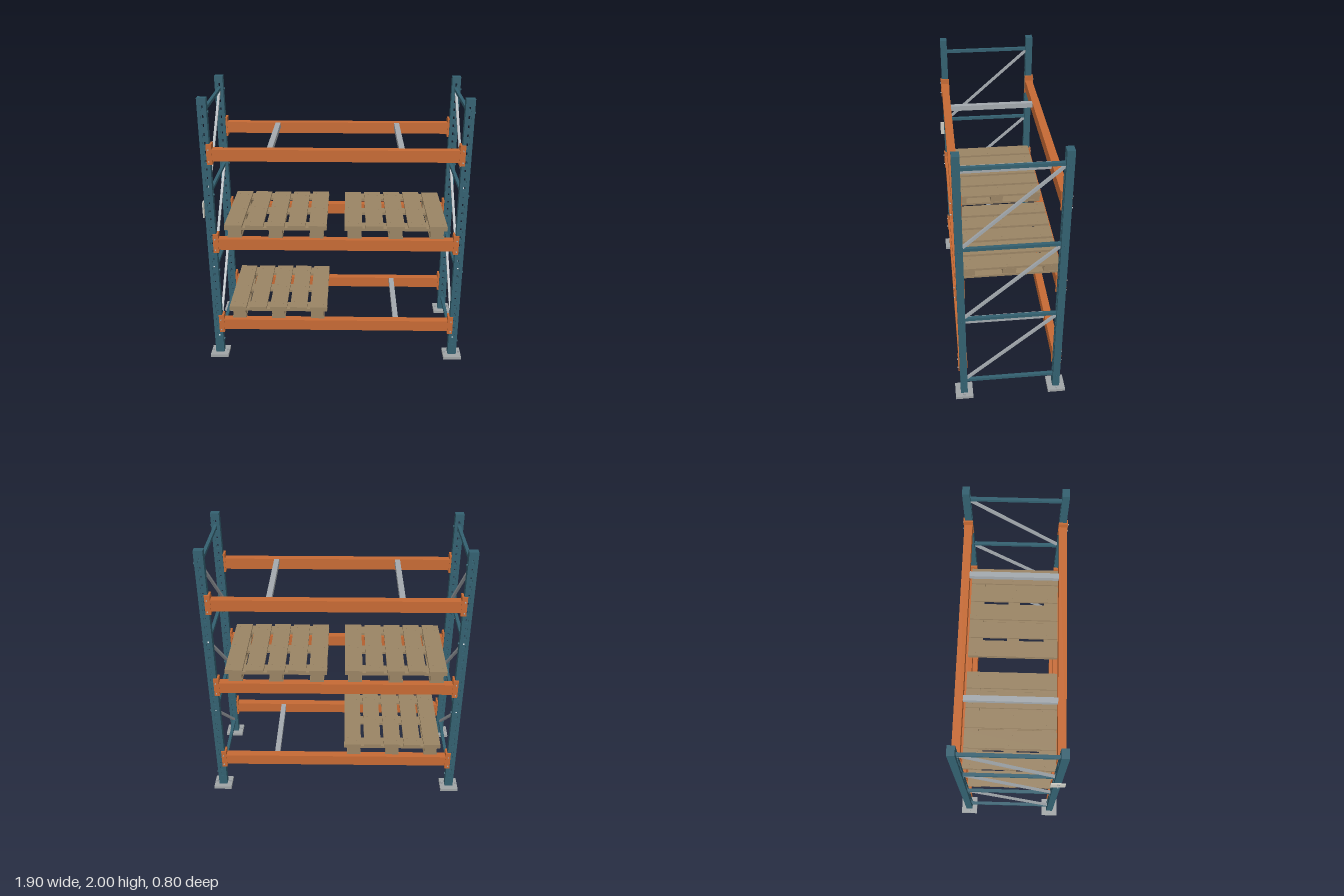
import * as THREE from 'three';

const mat = (color) => new THREE.MeshStandardMaterial({ color });
const teal = mat(0x336070), orange = mat(0xc66a34), wood = mat(0x9a8464);
const steel = mat(0xa3a9ae), plateGrey = mat(0xa0a4a6), signGrey = mat(0xcbcbc2);

const POST_X = 0.885, POST_Z = 0.335, POST_W = 0.063, POST_D = 0.05;
const LEVELS = [0.272, 0.938, 1.606];      // beam centre heights
const BRACES = [0.127, 0.718, 1.31, 1.902]; // frame brace heights
const BEAM_H = 0.083;

function box(parent, name, material, size, pos) {
  const mesh = new THREE.Mesh(new THREE.BoxGeometry(...size), material);
  mesh.position.set(...pos);
  mesh.name = name;
  parent.add(mesh);
  return mesh;
}

// Small cylinder along a chosen axis
function bolt(parent, name, material, r, len, pos, axis = 'y', sides = 6) {
  const geo = new THREE.CylinderGeometry(r, r, len, sides);
  if (axis === 'x') geo.rotateZ(Math.PI / 2);
  if (axis === 'z') geo.rotateX(Math.PI / 2);
  const mesh = new THREE.Mesh(geo, material);
  mesh.position.set(...pos);
  mesh.name = name;
  parent.add(mesh);
}

function rect(x0, y0, x1, y1, Type = THREE.Shape) {
  const s = new Type();
  s.moveTo(x0, y0);
  s.lineTo(x1, y0);
  s.lineTo(x1, y1);
  s.lineTo(x0, y1);
  s.closePath();
  return s;
}

// Slotted front and rear face of an upright
function slottedFace() {
  const wall = 0.006, h = POST_W / 2;
  const shape = rect(-h, 0.022, h, 2);
  for (let y = 0.12; y < 1.95; y += 0.0625) {
    shape.holes.push(rect(-0.009, y - 0.017, 0.009, y + 0.017, THREE.Path));
  }
  const geo = new THREE.ExtrudeGeometry(shape, { depth: wall, bevelEnabled: false });
  return geo.translate(0, 0, -wall / 2);
}

function upright(faceGeo) {
  const g = new THREE.Group();
  g.name = 'upright';
  for (const s of [-1, 1]) {
    const face = new THREE.Mesh(faceGeo, teal);
    face.name = 'slottedFace';
    face.position.z = s * (POST_D / 2 - 0.003);
    g.add(face);
    box(g, 'uprightSide', teal, [0.006, 1.978, POST_D - 0.012], [s * (POST_W / 2 - 0.003), 1.011, 0]);
    bolt(g, 'anchorBolt', steel, 0.007, 0.02, [s * 0.052, 0.028, 0]);
  }
  box(g, 'uprightCap', teal, [POST_W - 0.012, 0.006, POST_D - 0.012], [0, 1.997, 0]);
  box(g, 'basePlate', plateGrey, [0.134, 0.022, 0.126], [0, 0.011, 0]);
  return g;
}

// Two uprights with horizontal and diagonal bracing
function endFrame(x, faceGeo) {
  const g = new THREE.Group();
  g.name = 'endFrame';
  g.position.x = x;
  for (const s of [-1, 1]) {
    const post = upright(faceGeo);
    post.position.z = s * POST_Z;
    g.add(post);
  }
  BRACES.forEach((y, i) => {
    box(g, 'horizontalBrace', teal, [0.023, 0.022, 2 * POST_Z - 0.03], [0, y, 0]);
    for (const s of [-1, 1]) {
      bolt(g, 'braceBolt', teal, 0.008, 0.01, [POST_W / 2 + 0.004, y, s * POST_Z], 'x');
    }
    if (i === BRACES.length - 1) return;
    const dy = BRACES[i + 1] - y - 0.02, dz = 0.64;
    const d = box(g, 'diagonalBrace', steel, [0.018, 0.018, Math.hypot(dy, dz)], [0, y + 0.01 + dy / 2, 0]);
    d.rotation.x = Math.atan2(dy, dz);
  });
  return g;
}

// Beam with a wrap-around connector at both ends; s is +1 front, -1 back
function beam(y, s) {
  const g = new THREE.Group();
  g.name = 'beam';
  g.position.y = y;
  box(g, 'beamBar', orange, [1.68, BEAM_H, 0.056], [0, 0, s * 0.337]);
  for (const e of [-1, 1]) {
    box(g, 'connectorEnd', orange, [0.014, 0.144, 0.066], [e * 0.844, 0.007, s * 0.337]);
    box(g, 'connectorLip', orange, [0.03, 0.144, 0.009], [e * 0.86, 0.007, s * 0.3655]);
    for (const py of [-0.042, 0.042]) {
      bolt(g, 'connectorPin', steel, 0.005, 0.008, [e * 0.86, py, s * 0.373], 'z');
    }
  }
  return g;
}

// Nine-block pallet, deck boards running front to back
function pallet(x, y) {
  const g = new THREE.Group();
  g.name = 'pallet';
  g.position.set(x, y, 0);
  const W = 0.732, D = 0.67;
  for (let i = -1; i <= 1; i++) {
    box(g, 'bottomBoard', wood, [0.102, 0.015, D], [i * 0.293, 0.0075, 0]);
    const zw = i ? 0.105 : 0.092, z = i * (D / 2 - zw / 2);
    box(g, 'stringerBoard', wood, [W, 0.018, zw], [0, 0.069, z]);
    for (let j = -1; j <= 1; j++) {
      box(g, 'block', wood, [0.094, 0.045, zw], [j * 0.293, 0.0375, z]);
    }
  }
  for (let i = -2; i <= 2; i++) {
    box(g, 'deckBoard', wood, [0.127, 0.016, D], [i * 0.151, 0.086, 0]);
    for (const z of [-0.27, 0, 0.27]) {
      for (const s of [-1, 1]) {
        bolt(g, 'nailHead', wood, 0.004, 0.003, [i * 0.151 + s * 0.035, 0.095, z + s * 0.015]);
      }
    }
  }
  return g;
}

export function createModel() {
  const model = new THREE.Group();
  model.name = 'palletRack';

  const faceGeo = slottedFace();
  for (const s of [-1, 1]) model.add(endFrame(s * POST_X, faceGeo));

  // Beams and the cross supports between them
  for (const y of LEVELS) {
    for (const s of [-1, 1]) {
      model.add(beam(y, s));
      box(model, 'crossSupport', steel, [0.038, 0.038, 0.62], [s * 0.45, y + BEAM_H / 2 - 0.019, 0]);
    }
  }

  // Pallets
  const top = BEAM_H / 2;
  model.add(pallet(-0.43, LEVELS[0] + top));
  model.add(pallet(-0.43, LEVELS[1] + top));
  model.add(pallet(0.428, LEVELS[1] + top));

  // Load sign on the outside of one upright
  const sign = new THREE.Group();
  sign.name = 'loadSign';
  box(sign, 'signPlate', signGrey, [0.009, 0.11, 0.103], [-0.922, 1.21, 0.338]);
  for (const y of [1.167, 1.253]) {
    bolt(sign, 'signBolt', steel, 0.006, 0.008, [-0.93, y, 0.338], 'x');
  }
  model.add(sign);
  return model;
}
